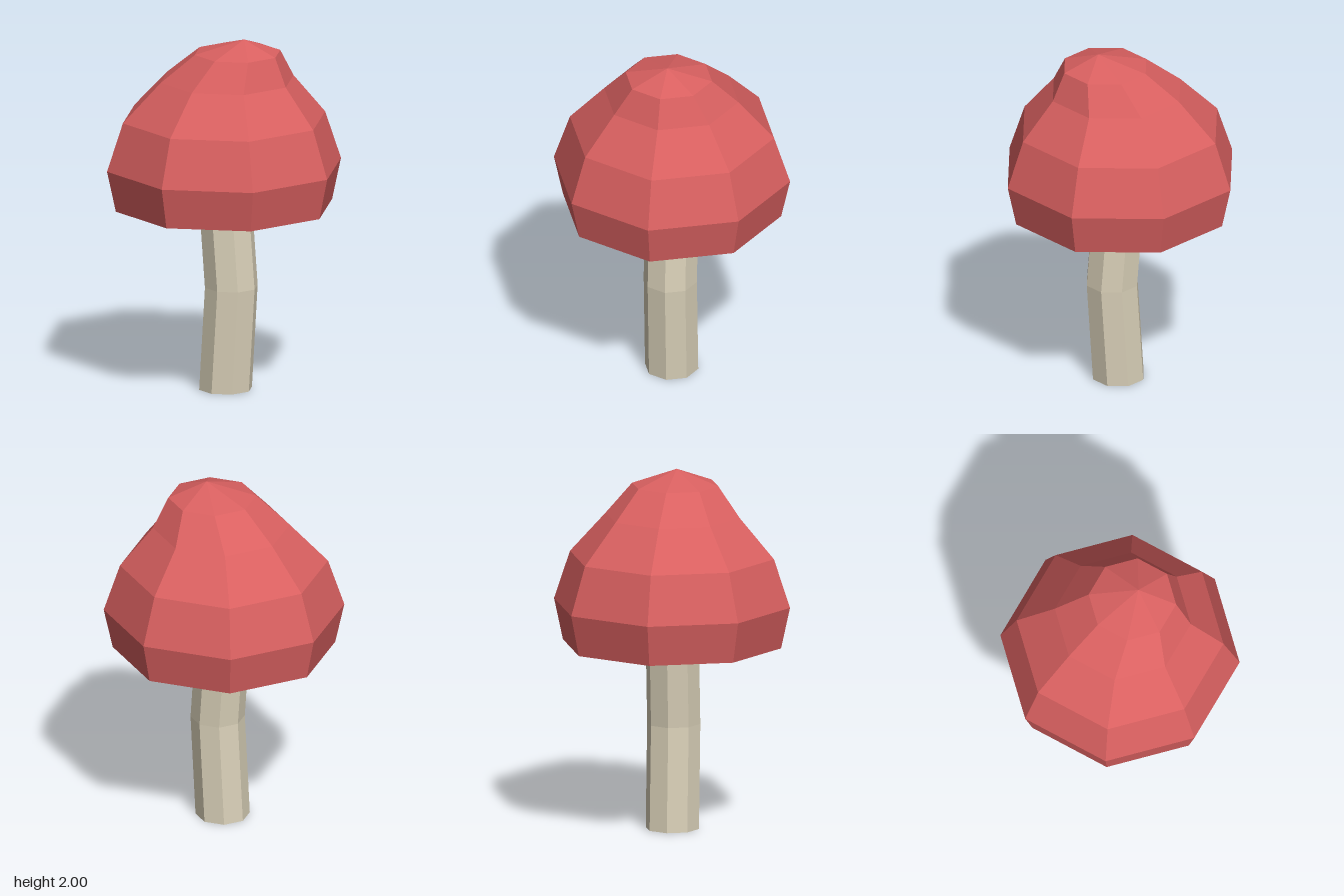
import * as THREE from 'three';

const SIDES = 8;

// Faceted skin through octagonal rings [height, centre x, radius]; radius 0 is a tip.
function loft(rings) {
  const at = ([y, cx, r], i) => {
    const a = (i / SIDES) * Math.PI * 2;
    return [cx + r * Math.cos(a), y, r * Math.sin(a)];
  };
  const pos = [];
  for (let k = 0; k < rings.length - 1; k++) {
    const lo = rings[k], hi = rings[k + 1];
    for (let i = 0; i < SIDES; i++) {
      if (lo[2] > 0) pos.push(...at(lo, i), ...at(hi, i), ...at(lo, i + 1));
      if (hi[2] > 0) pos.push(...at(lo, i + 1), ...at(hi, i), ...at(hi, i + 1));
    }
  }
  const geo = new THREE.BufferGeometry();
  geo.setAttribute('position', new THREE.Float32BufferAttribute(pos, 3));
  geo.computeVertexNormals();
  return geo;
}

export function createModel() {
  const capRed = new THREE.MeshStandardMaterial({ color: 0xd96060, flatShading: true });
  capRed.name = 'capRed';
  const stemCream = new THREE.MeshStandardMaterial({
    color: 0xd9d0b8, flatShading: true, side: THREE.DoubleSide,
  });
  stemCream.name = 'stemCream';

  // Bent open tube
  const stem = new THREE.Mesh(loft([
    [0, 0.01, 0.15],
    [0.585, 0.047, 0.15],
    [1.12, 0.005, 0.15],
  ]), stemCream);
  stem.name = 'stem';

  // Hollow underside, rim, dome and tip leaning to +x
  const cap = new THREE.Mesh(loft([
    [1.165, 0, 0],
    [1.01, 0, 0.46],
    [1.04, 0, 0.615],
    [1.27, 0, 0.665],
    [1.54, 0, 0.575],
    [1.76, 0.02, 0.378],
    [1.92, 0.087, 0.243],
    [2.0, 0.13, 0],
  ]), capRed);
  cap.name = 'cap';

  const group = new THREE.Group();
  group.name = 'mushroom';
  group.add(stem, cap);
  return group;
}
